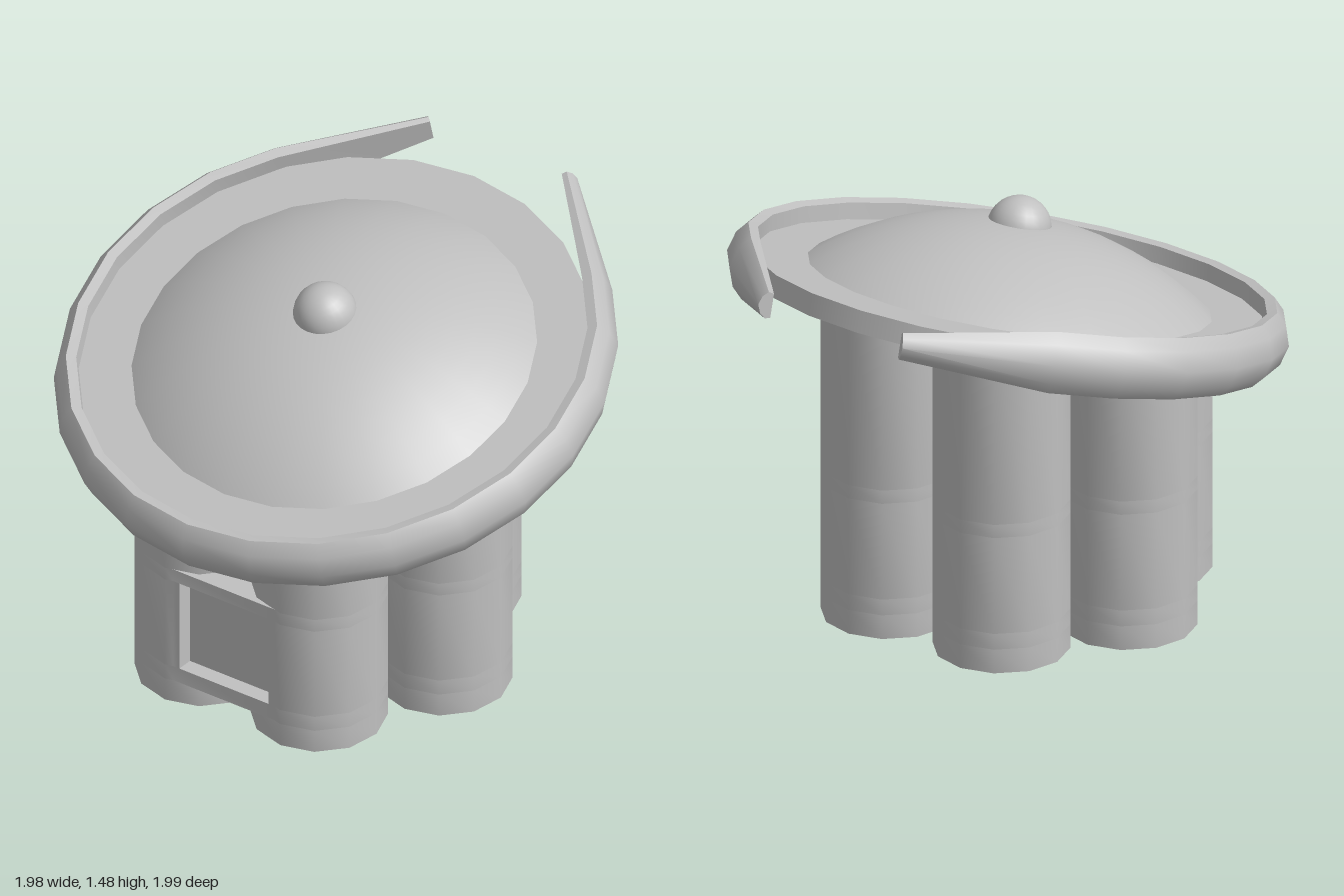
import * as THREE from 'three';
import { toCreasedNormals } from 'three/addons/utils/BufferGeometryUtils.js';

const TILT = Math.PI / 12;
const ROOF_Y = 1.118, ROOF_Z = 0.04;
const rad = THREE.MathUtils.degToRad;

// Outline of six touching columns; "front" fills the gap between the two front ones
function clusterShape(front) {
  const pts = [];
  for (let i = 0; i < 6; i++) {
    const c = rad(60 * i);
    for (let d = 60 * i - 120; d < 60 * i + 120; d += 30) {
      if (front && ((i === 1 && d > 90) || (i === 2 && d < 90))) continue;
      const x = 0.48 * Math.cos(c) + 0.24 * Math.cos(rad(d));
      const z = 0.09 + 0.48 * Math.sin(c) + 0.24 * Math.sin(rad(d));
      pts.push(new THREE.Vector2(x, -z));
    }
    if (front && i === 1) front.forEach(([x, z]) => pts.push(new THREE.Vector2(x, -z)));
  }
  return new THREE.Shape(pts);
}

function slab(front, y0, y1) {
  const g = new THREE.ExtrudeGeometry(clusterShape(front), { depth: y1 - y0, bevelEnabled: false });
  return g.rotateX(-Math.PI / 2).translate(0, y0, 0);
}

// Ring open at the back, with straight tapering ends
function rimGeometry() {
  const profile = [[0.895, -0.1], [0.93, -0.11], [0.967, -0.07], [0.988, 0], [0.967, 0.07], [0.93, 0.11], [0.895, 0.1]];
  const n = profile.length, pos = [], idx = [];
  const station = (a, s, tip) => profile.forEach(([r0, h0]) => {
    const r = tip ? 0.93 + (r0 - 0.895) * 0.53 : r0;
    const h = tip ? h0 * 0.43 : h0;
    pos.push(r * Math.sin(a) + s * Math.cos(a), h, r * Math.cos(a) - s * Math.sin(a));
  });
  station(rad(-135), -0.542, true);
  for (let k = -9; k <= 9; k++) station(rad(15 * k), 0, false);
  station(rad(135), 0.542, true);
  const last = 20;
  for (let k = 0; k < last; k++) {
    for (let j = 0; j < n; j++) {
      const a = k * n + j, b = k * n + (j + 1) % n;
      idx.push(a, a + n, b, b, a + n, b + n);
    }
  }
  for (let j = 1; j < n - 1; j++) {
    idx.push(0, j, j + 1);
    idx.push(last * n, last * n + j + 1, last * n + j);
  }
  const g = new THREE.BufferGeometry();
  g.setAttribute('position', new THREE.Float32BufferAttribute(pos, 3));
  g.setIndex(idx);
  return toCreasedNormals(g, 0.7);
}

export function createModel() {
  const model = new THREE.Group();
  const grey = new THREE.MeshStandardMaterial({ color: 0xc0c0c0 });
  grey.name = 'plain grey';
  const add = (parent, name, geometry, y = 0) => {
    const m = new THREE.Mesh(geometry, grey);
    m.name = name;
    m.position.y = y;
    parent.add(m);
    return m;
  };

  // Column cluster in layers, with a recessed panel at the front
  const body = new THREE.Group();
  body.name = 'columnCluster';
  model.add(body);
  const flat = [[0.21, 0.738], [-0.21, 0.738]];
  const recess = [[0.21, 0.738], [0.185, 0.738], [0.18, 0.68], [-0.18, 0.68], [-0.185, 0.738], [-0.21, 0.738]];
  const layers = [
    ['columnBase', null, 0, 0.09],
    ['panelSill', flat, 0.09, 0.15],
    ['recessedPanel', recess, 0.15, 0.515],
    ['panelLintel', flat, 0.515, 0.565],
  ];
  for (const [name, front, y0, y1] of layers) add(body, name, toCreasedNormals(slab(front, y0, y1), 0.8));

  // Upper columns, cut off along the slope of the roof
  const upper = slab(null, 0.565, 1);
  const p = upper.attributes.position;
  for (let i = 0; i < p.count; i++) {
    if (p.getY(i) > 0.8) p.setY(i, ROOF_Y - Math.tan(TILT) * (p.getZ(i) - ROOF_Z));
  }
  add(body, 'upperColumns', toCreasedNormals(upper, 0.8));

  // Tilted roof
  const roof = new THREE.Group();
  roof.name = 'tiltedRoof';
  roof.position.set(0, ROOF_Y, ROOF_Z);
  roof.rotation.x = TILT;
  model.add(roof);
  add(roof, 'roofDisc', new THREE.CylinderGeometry(0.9, 0.9, 0.08, 24));
  add(roof, 'dome', new THREE.SphereGeometry(1.17, 24, 10, 0, Math.PI * 2, 0, Math.asin(0.71 / 1.17)), -0.89);
  add(roof, 'knob', new THREE.SphereGeometry(0.113, 24, 16), 0.255);
  add(roof, 'openRim', rimGeometry());

  return model;
}
